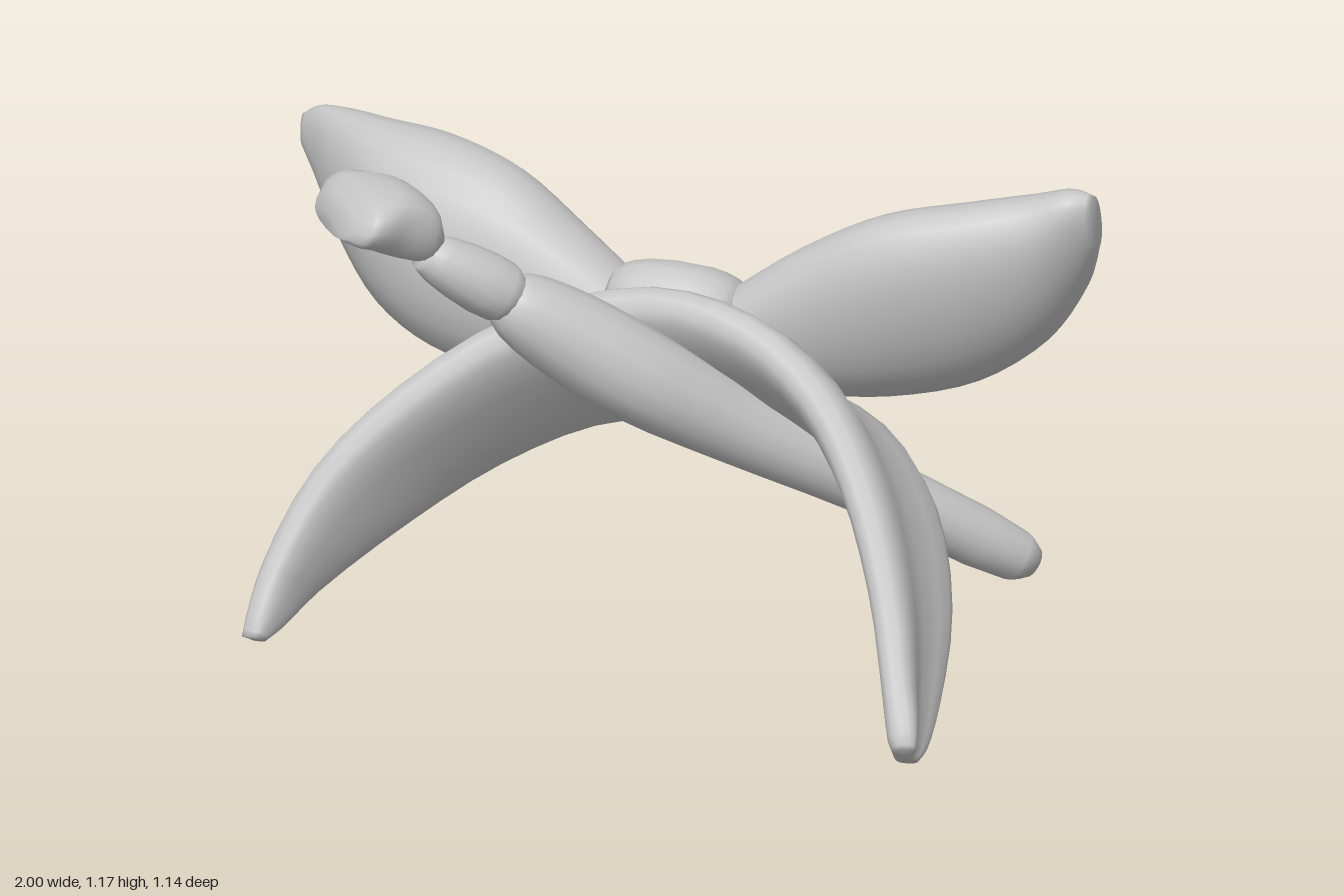
import * as THREE from 'three';

const V = (x, y, z) => new THREE.Vector3(x, y, z);

// Smooth closed skin through a list of equally sized rings
function loft(rings, steps) {
  const n = rings[0].length;
  const cols = [];
  for (let j = 0; j < n; j++) {
    const curve = new THREE.CatmullRomCurve3(rings.map((r) => r[j]), false, 'centripetal');
    cols.push(curve.getPoints((rings.length - 1) * steps));
  }
  const m = cols[0].length, pos = [], idx = [];
  for (let i = 0; i < m; i++) for (let j = 0; j < n; j++) pos.push(...cols[j][i].toArray());
  for (let i = 0; i < m - 1; i++) {
    for (let j = 0; j < n; j++) {
      const a = i * n + j, b = i * n + (j + 1) % n;
      idx.push(a, b, a + n, b, b + n, a + n);
    }
  }
  // end caps
  for (const [row, flip] of [[0, true], [m - 1, false]]) {
    const c = V(0, 0, 0);
    for (let j = 0; j < n; j++) c.addScaledVector(cols[j][row], 1 / n);
    const k = pos.length / 3;
    pos.push(c.x, c.y, c.z);
    for (let j = 0; j < n; j++) {
      const a = row * n + j, b = row * n + (j + 1) % n;
      flip ? idx.push(b, a, k) : idx.push(a, b, k);
    }
  }
  // turn the skin outward if its enclosed volume is negative
  const at = (i) => V(pos[3 * i], pos[3 * i + 1], pos[3 * i + 2]);
  let vol = 0;
  for (let i = 0; i < idx.length; i += 3) vol += at(idx[i]).dot(at(idx[i + 1]).cross(at(idx[i + 2])));
  if (vol < 0) idx.reverse();
  const g = new THREE.BufferGeometry();
  g.setAttribute('position', new THREE.Float32BufferAttribute(pos, 3));
  g.setIndex(idx);
  g.computeVertexNormals();
  return g;
}

// Rounded ring spanned by two half-axes; groove sinks the +v side
function ring(c, u, v, n = 16, power = 0.8, groove = 0) {
  const soft = (t) => Math.sign(t) * Math.abs(t) ** power;
  return Array.from({ length: n }, (_, j) => {
    const a = (j / n) * Math.PI * 2, s = Math.sin(a);
    const dip = s > 0 ? groove * s ** 10 : 0;
    return c.clone().addScaledVector(u, soft(Math.cos(a))).addScaledVector(v, soft(s) - dip);
  });
}

// Round rod through rows of [x, y, z, radius]
function rod(rows, steps) {
  const p = rows.map((r) => V(r[0], r[1], r[2]));
  const dir = p[p.length - 1].clone().sub(p[0]).normalize();
  const u = V(0, 1, 0).cross(dir).normalize(), v = dir.clone().cross(u);
  return loft(rows.map((r, i) => ring(p[i], u.clone().multiplyScalar(r[3]), v.clone().multiplyScalar(r[3]), 14, 1)), steps);
}

// Bow loop through rows of [x, bottom, top, back, front, lean, groove]
function bowLoop(rows) {
  return loft(rows.map(([x, y0, y1, z0, z1, lean, groove]) =>
    ring(V(x, (y0 + y1) / 2, (z0 + z1) / 2), V(0, (y1 - y0) / 2, lean), V(0, 0, (z0 - z1) / 2), 24, 0.95, groove)), 4);
}

export function createModel() {
  const group = new THREE.Group();
  const grey = new THREE.MeshStandardMaterial({ color: 0xc8c8c8 });
  grey.name = 'grey';
  const add = (name, geo) => {
    const mesh = new THREE.Mesh(geo, grey);
    mesh.name = name;
    group.add(mesh);
  };

  // Arched headband: front rim, back rim and half thickness per station
  const band = [
    [-0.80, 0.075, 0.41, -0.78, 0.055, 0.38, 0.028],
    [-0.79, 0.12, 0.39, -0.765, 0.07, 0.32, 0.036],
    [-0.77, 0.22, 0.33, -0.725, 0.12, 0.18, 0.046],
    [-0.69, 0.41, 0.21, -0.58, 0.23, -0.06, 0.06],
    [-0.53, 0.58, 0.09, -0.42, 0.335, -0.23, 0.068],
    [-0.29, 0.74, -0.03, -0.22, 0.42, -0.34, 0.072],
    [0, 0.825, -0.075, 0, 0.46, -0.36, 0.074],
    [0.25, 0.805, -0.025, 0.25, 0.48, -0.35, 0.074],
    [0.45, 0.715, 0.075, 0.48, 0.44, -0.29, 0.07],
    [0.60, 0.575, 0.21, 0.64, 0.34, -0.16, 0.065],
    [0.72, 0.39, 0.36, 0.75, 0.20, 0.05, 0.06],
    [0.80, 0.20, 0.495, 0.81, 0.075, 0.30, 0.05],
    [0.835, 0.11, 0.55, 0.83, 0.025, 0.445, 0.043],
    [0.845, 0.075, 0.56, 0.835, 0.02, 0.50, 0.03],
  ];
  const front = band.map((b) => V(b[0], b[1], b[2]));
  const back = band.map((b) => V(b[3], b[4], b[5]));
  const mid = front.map((f, i) => f.clone().add(back[i]).multiplyScalar(0.5));
  add('headband', loft(band.map((b, i) => {
    const w = front[i].clone().sub(back[i]).multiplyScalar(0.54);
    const t = mid[Math.min(i + 1, band.length - 1)].clone().sub(mid[Math.max(i - 1, 0)]);
    const out = w.clone().cross(t).normalize().multiplyScalar(b[6]);
    return ring(mid[i], w, out, 20, 0.75, 0.5);
  }), 3));

  // Bow loops and the knot between them
  add('leftBowLoop', bowLoop([
    [0.10, 0.58, 0.77, -0.36, -0.18, 0, 0.3],
    [0.30, 0.55, 0.92, -0.41, -0.175, 0.03, 0.6],
    [0.50, 0.55, 1.03, -0.46, -0.17, 0.06, 0.5],
    [0.70, 0.60, 1.08, -0.49, -0.20, 0.07, 0.25],
    [0.85, 0.71, 1.11, -0.49, -0.24, 0.06, 0.1],
    [0.95, 0.86, 1.14, -0.43, -0.27, 0.05, 0],
    [1.00, 0.99, 1.13, -0.36, -0.29, 0.02, 0],
  ]));
  add('rightBowLoop', bowLoop([
    [-0.10, 0.58, 0.77, -0.39, -0.18, 0, 0.3],
    [-0.25, 0.54, 0.88, -0.44, -0.175, 0, 0.6],
    [-0.42, 0.50, 0.99, -0.50, -0.175, 0, 0.5],
    [-0.60, 0.52, 1.03, -0.56, -0.20, 0, 0.3],
    [-0.75, 0.59, 1.03, -0.575, -0.27, 0, 0.1],
    [-0.88, 0.71, 1.02, -0.575, -0.40, 0, 0],
    [-0.96, 0.83, 1.00, -0.575, -0.49, 0, 0],
    [-1.00, 0.89, 0.97, -0.57, -0.53, 0, 0],
  ]));
  const up = V(0, 0.13, 0.125), out = V(0, 0.075, -0.085);
  add('bowKnot', loft([[-0.15, 0.7], [-0.13, 0.88], [-0.06, 1.04], [0.07, 1.04], [0.14, 0.88], [0.165, 0.7]].map(([x, s]) =>
    ring(V(x, 0.69, -0.30), up.clone().multiplyScalar(s), out.clone().multiplyScalar(s), 16, 0.88)), 2));

  // Tapering stick crossing under the arch
  add('shaft', rod([
    [0.775, 0.105, -0.535, 0.035], [0.745, 0.13, -0.505, 0.06], [0.45, 0.355, -0.295, 0.075],
    [0.20, 0.53, -0.12, 0.092], [0.01, 0.675, 0.01, 0.11], [-0.13, 0.78, 0.08, 0.107],
    [-0.245, 0.87, 0.145, 0.08], [-0.275, 0.895, 0.165, 0.05],
  ], 3));
  add('collar', rod([
    [-0.235, 0.88, 0.14, 0.045], [-0.27, 0.905, 0.165, 0.072], [-0.39, 0.995, 0.24, 0.06], [-0.43, 1.02, 0.26, 0.04],
  ], 3));

  // Flared wedge at the top end of the stick
  const wide = V(0.6, 0.02, 0.8), thick = V(0.25, 0.9, -0.2);
  add('flaredEnd', loft([
    [-0.41, 1.03, 0.22, 0.05, 0.04], [-0.435, 1.06, 0.23, 0.085, 0.07], [-0.50, 1.10, 0.265, 0.125, 0.085],
    [-0.565, 1.12, 0.30, 0.17, 0.07], [-0.59, 1.12, 0.315, 0.17, 0.06], [-0.625, 1.11, 0.33, 0.11, 0.035],
  ].map(([x, y, z, a, b]) =>
    ring(V(x, y, z), wide.clone().multiplyScalar(a), thick.clone().multiplyScalar(b), 16, 0.75)), 3));

  return group;
}
